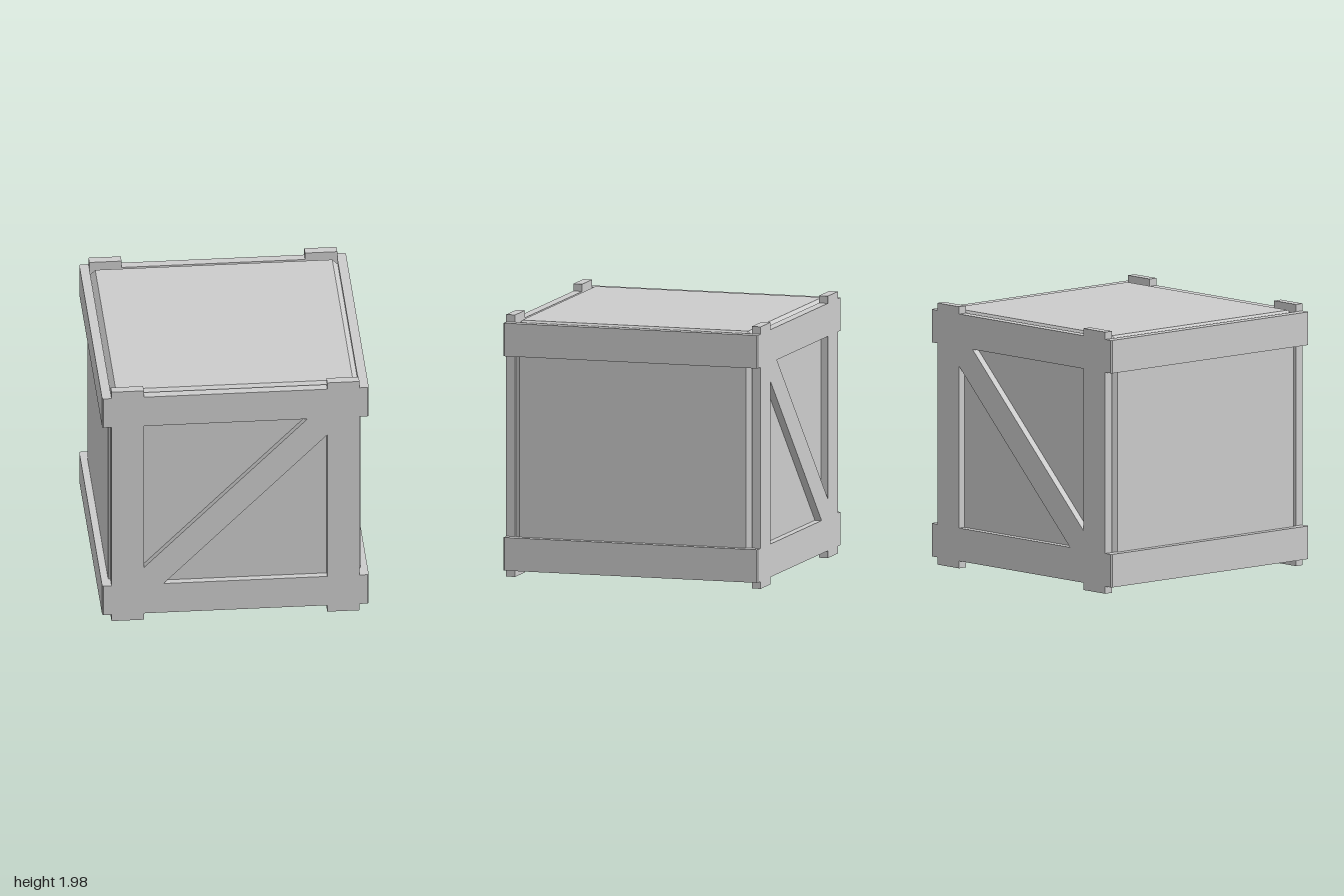
import * as THREE from 'three';
import { ConvexGeometry } from 'three/addons/geometries/ConvexGeometry.js';

const MID = 0.99;          // height of the crate's centre
const INNER = 0.93;        // inner face of frames and rails
const RAIL_IN = 0.685, RAIL_OUT = 0.935; // rail edges measured from the centre

const points = (list) => list.map(([x, y]) => new THREE.Vector2(x, y));

function extrude(shape, depth) {
  return new THREE.ExtrudeGeometry(shape, { depth, bevelEnabled: false });
}

// Box with every edge cut at 45 degrees
function chamferedBox(half, cut) {
  const flat = half - cut, corners = [];
  for (const x of [-1, 1]) for (const y of [-1, 1]) for (const z of [-1, 1]) {
    corners.push(
      new THREE.Vector3(x * half, y * flat, z * flat),
      new THREE.Vector3(x * flat, y * half, z * flat),
      new THREE.Vector3(x * flat, y * flat, z * half));
  }
  return new ConvexGeometry(corners);
}

// Posts, cross rails and diagonal brace in one flush frame
function frameGeometry() {
  const w = INNER, p = 0.688, h = MID;
  const shape = new THREE.Shape(points([
    [-w, -h], [-p, -h], [-p, -RAIL_OUT], [p, -RAIL_OUT], [p, -h], [w, -h],
    [w, h], [p, h], [p, RAIL_OUT], [-p, RAIL_OUT], [-p, h], [-w, h]]));
  const brace = 0.54;
  for (const s of [1, -1]) {
    shape.holes.push(new THREE.Path(points([
      [-p * s, RAIL_IN * s], [brace * s, RAIL_IN * s], [-p * s, -brace * s]])));
  }
  return extrude(shape, 1 - INNER);
}

// Side rail with its outer upright corners trimmed
function railGeometry() {
  const t = 0.01;
  const plan = new THREE.Shape(points([
    [INNER, -1], [1 - t, -1], [1, -1 + t], [1, 1 - t], [1 - t, 1], [INNER, 1]]));
  const height = RAIL_OUT - RAIL_IN;
  return extrude(plan, height).rotateX(-Math.PI / 2).translate(0, -height / 2, 0);
}

export function createModel() {
  const group = new THREE.Group();
  group.name = 'crate';
  const grey = new THREE.MeshStandardMaterial({ color: 0xcccccc });
  grey.name = 'light grey';

  const add = (name, geometry, x, y, z) => {
    const mesh = new THREE.Mesh(geometry, grey);
    mesh.name = name;
    mesh.position.set(x, y, z);
    group.add(mesh);
    return mesh;
  };

  // Body
  add('body', chamferedBox(0.947, 0.058), 0, MID, 0);

  // Braced frames on front and back
  const frame = frameGeometry();
  add('frontFrame', frame, 0, MID, INNER);
  add('backFrame', frame, 0, MID, -1);

  // Two rails on each side
  const rail = railGeometry();
  const railMid = (RAIL_IN + RAIL_OUT) / 2;
  for (const [side, turn] of [['left', 0], ['right', Math.PI]]) {
    for (const [level, s] of [['Upper', 1], ['Lower', -1]]) {
      add(side + level + 'Rail', rail, 0, MID + s * railMid, 0).rotation.y = turn;
    }
  }
  return group;
}
